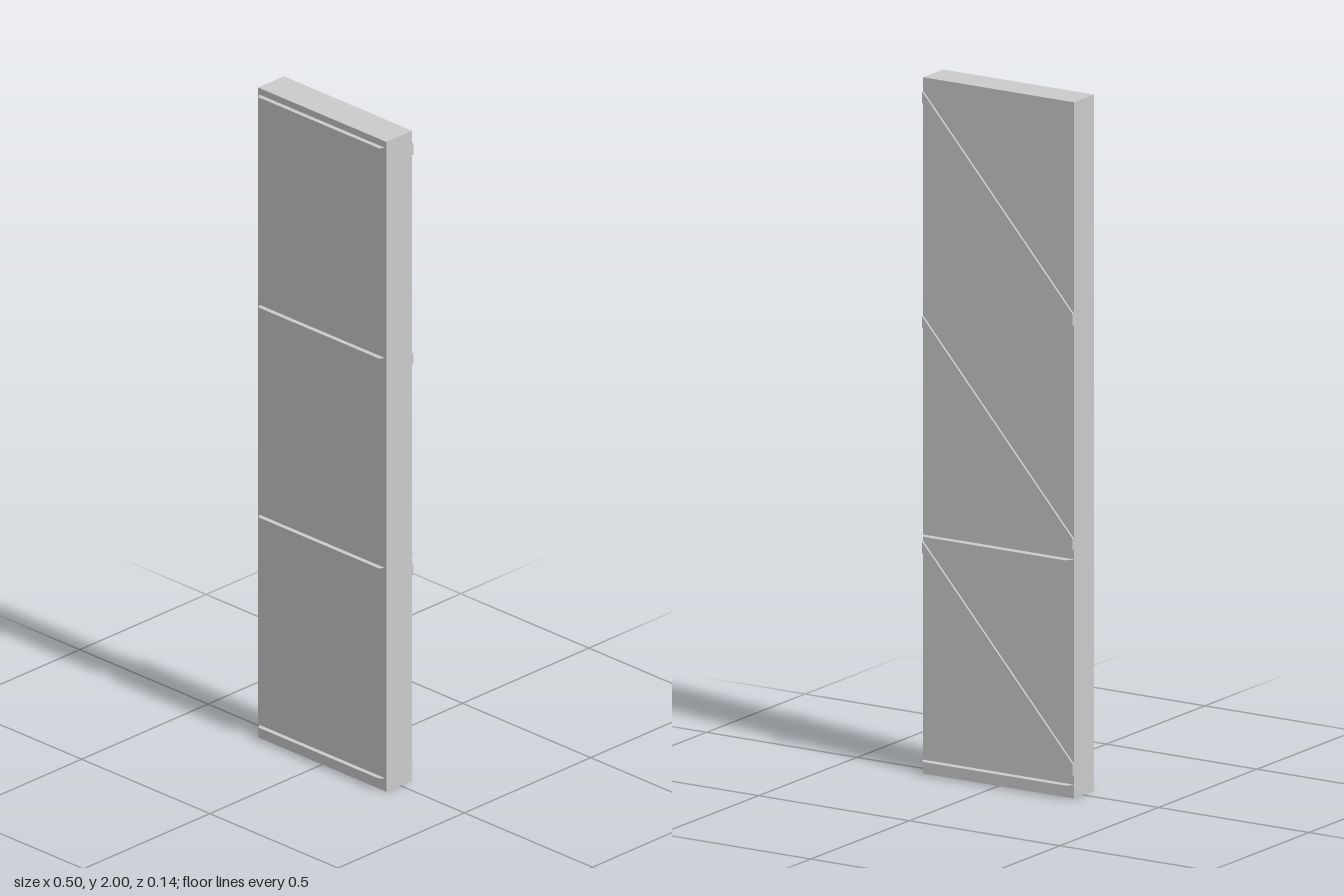
import * as THREE from 'three';

const FRONT = 0.055, BACK = -0.047;
const LEVELS = [0.04, 0.687, 1.333, 1.98];

const polygon = (points) => new THREE.Shape(points.map(([x, y]) => new THREE.Vector2(x, y)));

export function createModel() {
  const group = new THREE.Group();
  const material = new THREE.MeshStandardMaterial({ color: 0xcccccc, flatShading: true });
  const thin = new THREE.MeshStandardMaterial({ color: 0xcccccc, side: THREE.DoubleSide });

  const add = (name, geometry, mat, y = 0, z = 0) => {
    const mesh = new THREE.Mesh(geometry, mat);
    mesh.name = name;
    mesh.position.set(0, y, z);
    group.add(mesh);
  };

  // Upright slab
  add('panel', new THREE.BoxGeometry(0.5, 2, FRONT - BACK), material, 1, (FRONT + BACK) / 2);

  // Paper-thin horizontal fins with chamfered ends, drawn in x and z
  const frontFin = new THREE.ShapeGeometry(polygon([
    [-0.245, FRONT], [0.245, FRONT], [0.235, 0.069], [-0.235, 0.069],
  ])).rotateX(Math.PI / 2);
  const backFin = new THREE.ShapeGeometry(polygon([
    [-0.25, BACK], [-0.25, -0.053], [-0.235, -0.069], [0.235, -0.069], [0.25, -0.053], [0.25, BACK],
  ])).rotateX(Math.PI / 2);
  LEVELS.forEach((y) => add('frontFin', frontFin, thin, y));
  LEVELS.slice(0, 2).forEach((y) => add('backFin', backFin, thin, y));

  // Shallow diagonal braces on the back, rising towards +x between the levels
  const brace = new THREE.ExtrudeGeometry(polygon([
    [-0.25, 0.027], [0.25, 0.595], [0.25, 0.628], [-0.25, 0.06],
  ]), { depth: 0.007, bevelEnabled: false });
  LEVELS.slice(0, 3).forEach((y) => add('diagonalBrace', brace, material, y, -0.053));

  return group;
}
